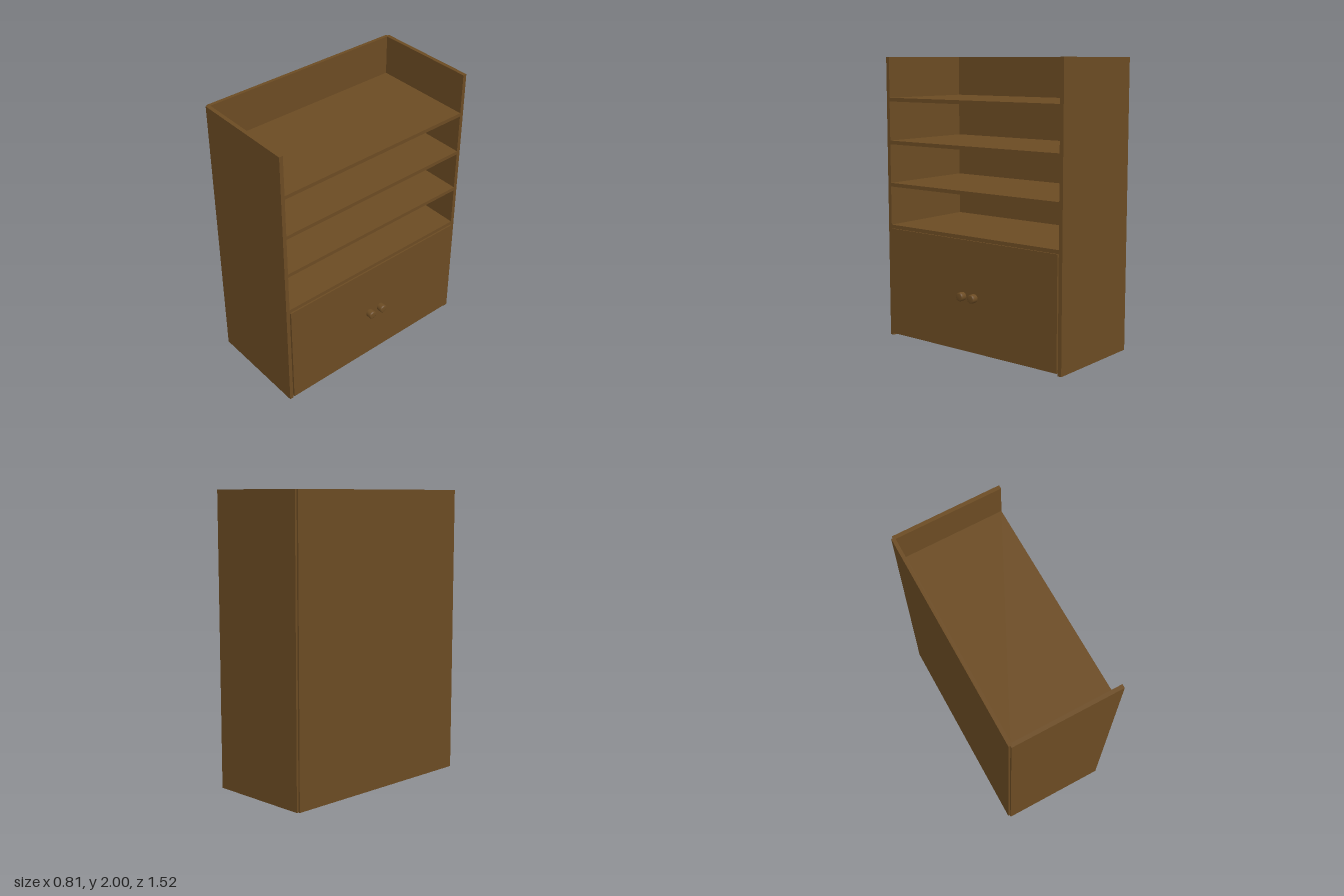
import * as THREE from 'three';

export function createModel() {
  const model = new THREE.Group();
  model.name = 'bookcase';
  const wood = new THREE.MeshStandardMaterial({ color: 0x6b4b23 });
  wood.name = 'brown wood';

  // Board given by its lowest and highest corners
  function board(name, min, max) {
    const size = max.map((v, i) => v - min[i]);
    const mesh = new THREE.Mesh(new THREE.BoxGeometry(...size), wood);
    mesh.position.set(...max.map((v, i) => (v + min[i]) / 2));
    mesh.name = name;
    model.add(mesh);
  }

  // Carcass: two sides and a back, open at top and bottom
  board('leftSide', [-0.396, 0, -0.762], [0.35, 2, -0.735]);
  board('rightSide', [-0.396, 0, 0.735], [0.35, 2, 0.762]);
  board('backPanel', [-0.408, 0, -0.748], [-0.384, 2, 0.748]);

  // Shelves, evenly spaced
  for (let i = 0; i < 4; i++) {
    const y = 0.788 + i * 0.301;
    board('shelf' + (i + 1), [-0.384, y, -0.735], [0.35, y + 0.026, 0.735]);
  }

  // Cupboard front
  board('cupboardDoor', [0.336, 0.018, -0.732], [0.36, 0.788, 0.732]);

  // Pair of round knobs with softened rims
  const profile = [[0.028, -0.005], [0.03, 0.012], [0.03, 0.034], [0.028, 0.041], [0.022, 0.045], [0, 0.045]]
    .map(([r, h]) => new THREE.Vector2(r, h));
  const knobGeometry = new THREE.LatheGeometry(profile, 24);
  for (const side of [-1, 1]) {
    const knob = new THREE.Mesh(knobGeometry, wood);
    knob.rotation.z = -Math.PI / 2;
    knob.position.set(0.36, 0.4, side * 0.05);
    knob.name = side < 0 ? 'leftKnob' : 'rightKnob';
    model.add(knob);
  }

  return model;
}
